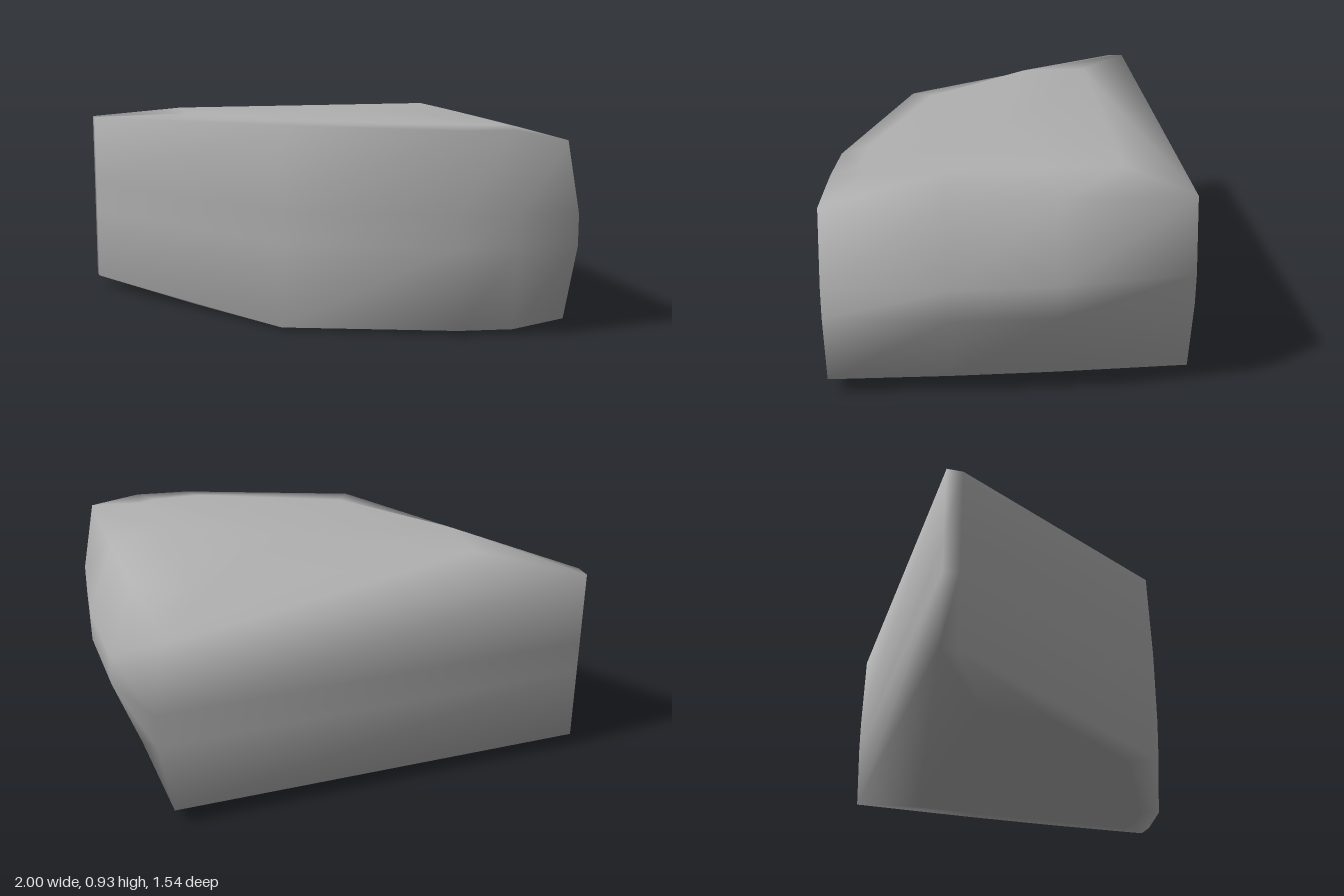
import * as THREE from 'three';

const HEIGHT = 0.927;

// Each column runs up the block: waist [x, z], rim [x, z, y], flat top [x, z, y]
const COLUMNS = [
  { waist: [-1.0, -0.77], rim: [-1.0, -0.77, 0.868], cap: [-0.6, -0.5, 0.925] },
  { waist: [-1.0, -0.7], rim: [-1.0, -0.7, 0.868], cap: [-0.6, -0.2, 0.925] },
  { waist: [-0.31, 0.37], rim: [-0.31, 0.36, 0.918], cap: [-0.25, 0.27, 0.927] },
  { waist: [0.41, 0.69], rim: [0.41, 0.68, 0.905], cap: [0.38, 0.57, 0.922] },
  { waist: [0.66, 0.735], rim: [0.65, 0.72, 0.905], cap: [0.58, 0.6, 0.917] },
  { waist: [0.93, 0.77], rim: [0.87, 0.765, 0.86], cap: [0.67, 0.58, 0.914] },
  { waist: [1.0, 0.25], rim: [0.88, 0.25, 0.862], cap: [0.67, 0.25, 0.915] },
  { waist: [1.0, -0.2], rim: [0.88, -0.2, 0.862], cap: [0.67, -0.2, 0.915] },
  { waist: [0.93, -0.77], rim: [0.87, -0.77, 0.86], cap: [0.66, -0.5, 0.915] },
];

function blockGeometry() {
  const n = COLUMNS.length;
  const positions = [];
  const index = [];

  // Upper half rings, mirrored about mid height for the lower half
  const levels = [
    (c) => [c.cap[0], c.cap[2], c.cap[1]],
    (c) => [c.rim[0], c.rim[2], c.rim[1]],
    (c) => [c.waist[0], 0.535, c.waist[1]],
  ];
  const rings = [
    ...levels.map((f) => (c) => { const [x, y, z] = f(c); return [x, HEIGHT - y, z]; }),
    ...levels.slice().reverse(),
  ];
  for (const ring of rings) for (const c of COLUMNS) positions.push(...ring(c));

  // Side bands
  for (let r = 0; r < rings.length - 1; r++) {
    for (let i = 0; i < n; i++) {
      const j = (i + 1) % n;
      const a = r * n + i, b = r * n + j, c = a + n, d = b + n;
      index.push(a, b, d, a, d, c);
    }
  }

  // Flat bottom and top
  const bottom = positions.length / 3;
  positions.push(0.15, 0, -0.05, 0.15, HEIGHT, -0.05);
  const last = (rings.length - 1) * n;
  for (let i = 0; i < n; i++) {
    const j = (i + 1) % n;
    index.push(bottom, j, i, bottom + 1, last + i, last + j);
  }

  const geometry = new THREE.BufferGeometry();
  geometry.setAttribute('position', new THREE.Float32BufferAttribute(positions, 3));
  geometry.setIndex(index);
  geometry.computeVertexNormals();
  return geometry;
}

export function createModel() {
  const group = new THREE.Group();
  group.name = 'stoneBlock';
  const stone = new THREE.MeshStandardMaterial({ color: 0xb0b0b0 });
  stone.name = 'grey stone';
  const block = new THREE.Mesh(blockGeometry(), stone);
  block.name = 'roundedBlock';
  group.add(block);
  return group;
}
